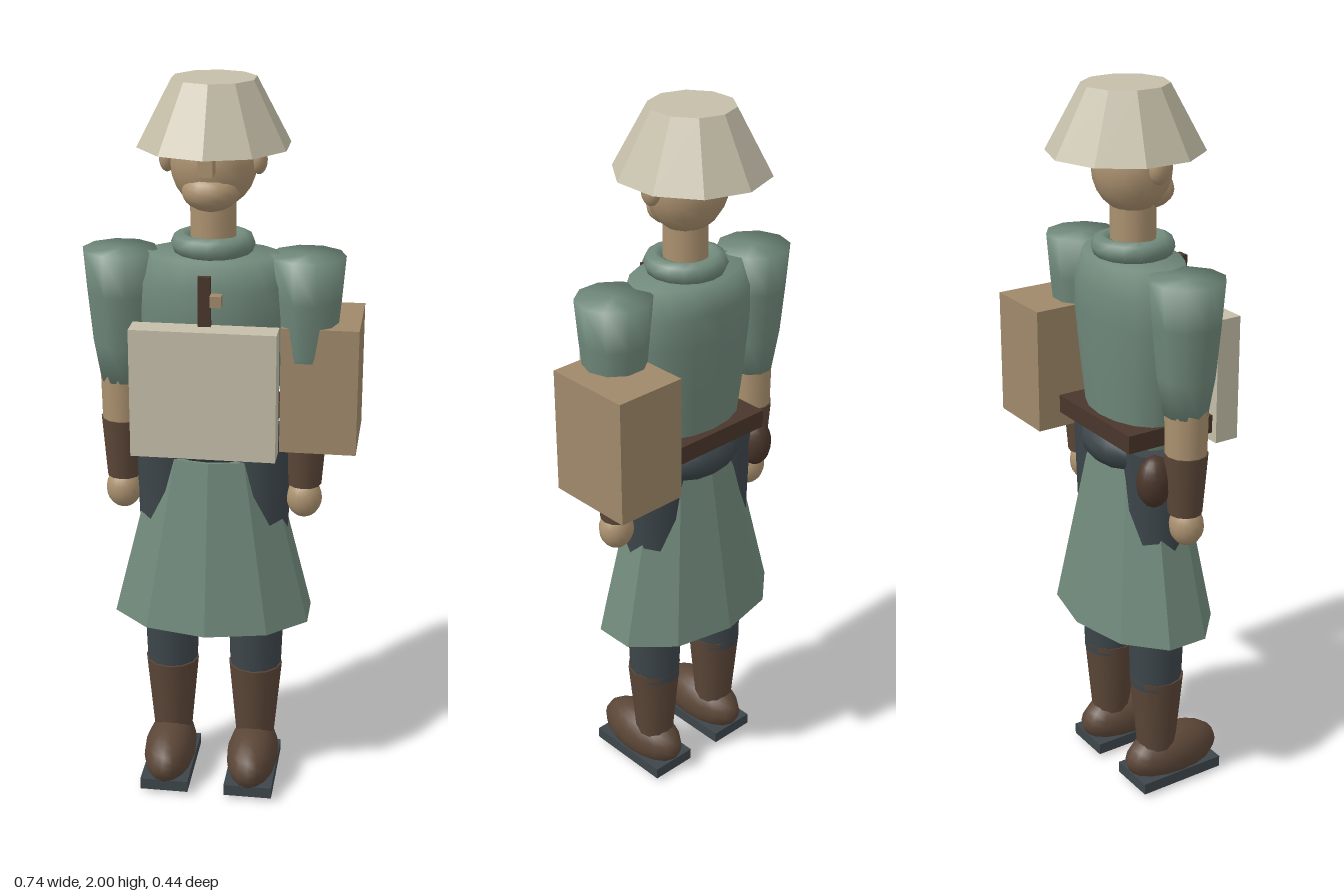
import * as THREE from 'three';

const CX = -0.023; // body axis

export function createModel() {
  const model = new THREE.Group();
  const mat = (name, color, flatShading = false) => {
    const m = new THREE.MeshStandardMaterial({ color });
    m.name = name;
    m.flatShading = flatShading;
    return m;
  };
  const green = mat('green cloth', 0x70897b);
  const cream = mat('cream canvas', 0xc4bea8);
  const skin = mat('skin', 0xac9270);
  const tan = mat('tan card', 0xa0896a);
  const leather = mat('boot leather', 0x5b4637);
  const darkLeather = mat('dark leather', 0x4a362b);
  const slate = mat('slate cloth', 0x3d464b);

  const add = (name, geometry, material, x, y, z) => {
    const mesh = new THREE.Mesh(geometry, material);
    mesh.name = name;
    mesh.position.set(x, y, z);
    model.add(mesh);
    return mesh;
  };
  // Box given by its limits on each axis
  const box = (name, material, [x0, x1], [y0, y1], [z0, z1]) =>
    add(name, new THREE.BoxGeometry(x1 - x0, y1 - y0, z1 - z0), material,
      (x0 + x1) / 2, (y0 + y1) / 2, (z0 + z1) / 2);
  const ellipsoid = (name, material, x, y, z, rx, ry, rz) =>
    add(name, new THREE.SphereGeometry(1, 16, 12).scale(rx, ry, rz), material, x, y, z);
  // Tapered tube between two heights
  const taper = (name, material, x, z, y0, y1, r0, r1, sides = 12) =>
    add(name, new THREE.CylinderGeometry(r1, r0, y1 - y0, sides), material, x, (y0 + y1) / 2, z);
  // Smooth turned shape from [radius, height] pairs
  const turned = (name, material, x, z, points, sides, zScale = 1, start = 0) => {
    const profile = points.map(([r, y]) => new THREE.Vector2(r, y));
    const g = new THREE.LatheGeometry(profile, sides, start).scale(1, 1, zScale);
    return add(name, g, material, x, 0, z);
  };
  // Flat-faced ten-sided cone section
  const faceted = (name, material, z, y0, y1, r0, r1, xScale) => {
    const g = new THREE.CylinderGeometry(r1, r0, y1 - y0, 10).scale(xScale, 1, 1).toNonIndexed();
    g.computeVertexNormals();
    return add(name, g, material, CX, (y0 + y1) / 2, z);
  };

  // Hat and head
  faceted('hat', cream, -0.013, 1.83, 2.0, 0.207, 0.1135, 0.97);
  ellipsoid('head', skin, CX, 1.79, 0.005, 0.113, 0.122, 0.103);
  ellipsoid('jaw', skin, CX, 1.725, 0.055, 0.075, 0.052, 0.065);
  box('nose', skin, [-0.042, -0.004], [1.78, 1.84], [0.09, 0.15]);
  taper('neck', skin, CX, 0.01, 1.58, 1.69, 0.06, 0.06);
  add('collar', new THREE.TorusGeometry(0.082, 0.029, 8, 16).rotateX(Math.PI / 2), green, CX, 1.58, 0.01);

  // Coat, hips and skirt
  turned('torso', green, CX, 0.01, [[0, 1.0], [0.15, 1.0], [0.165, 1.1], [0.187, 1.25],
    [0.205, 1.4], [0.203, 1.48], [0.175, 1.555], [0, 1.555]], 16, 0.63);
  ellipsoid('hips', slate, CX, 1.04, 0.0, 0.155, 0.08, 0.125);
  faceted('skirt', green, 0.0125, 0.52, 1.0, 0.1875, 0.106, 1.515);

  // Belt with side pouch
  box('belt', darkLeather, [-0.195, 0.15], [1.08, 1.13], [-0.115, 0.15]);
  ellipsoid('pouch', darkLeather, -0.225, 1.0, -0.055, 0.045, 0.072, 0.05);

  for (const side of [-1, 1]) {
    const label = side > 0 ? 'left' : 'right';

    // Ear
    ellipsoid(label + 'Ear', skin, CX + side * 0.118, 1.8, 0.01, 0.022, 0.038, 0.028);

    // Arm
    const ax = CX + side * 0.25;
    turned(label + 'Sleeve', green, CX + side * 0.247, 0.009, [[0, 1.195], [0.06, 1.195],
      [0.078, 1.3], [0.091, 1.44], [0.1, 1.555], [0, 1.555]], 10, 1, Math.PI / 2);
    taper(label + 'Forearm', skin, ax, 0.01, 1.06, 1.22, 0.055, 0.058);
    taper(label + 'Cuff', leather, ax, 0.01, 0.915, 1.085, 0.046, 0.059);
    ellipsoid(label + 'Hand', skin, ax, 0.876, 0.015, 0.049, 0.057, 0.046);

    // Leg
    const lx = CX + side * 0.12;
    taper(label + 'Leg', slate, lx, 0.01, 0.33, 1.06, 0.072, 0.096);
    taper(label + 'BootShaft', leather, lx, 0.013, 0.08, 0.355, 0.051, 0.076);
    ellipsoid(label + 'Foot', leather, lx, 0.082, 0.065, 0.073, 0.08, 0.15);
    box(label + 'Sole', slate, [lx - 0.068, lx + 0.068], [0.012, 0.045], [-0.07, 0.192]);
  }

  // Chest panel with an upright bar and knob
  box('chestPanel', cream, [-0.213, 0.167], [1.055, 1.4], [0.15, 0.22]);
  box('bar', darkLeather, [-0.041, -0.008], [1.3, 1.53], [0.154, 0.17]);
  box('knob', tan, [-0.008, 0.021], [1.456, 1.485], [0.155, 0.185]);

  // Carried box
  box('sideBox', tan, [0.163, 0.367], [1.03, 1.375], [-0.173, 0.08]);

  return model;
}
